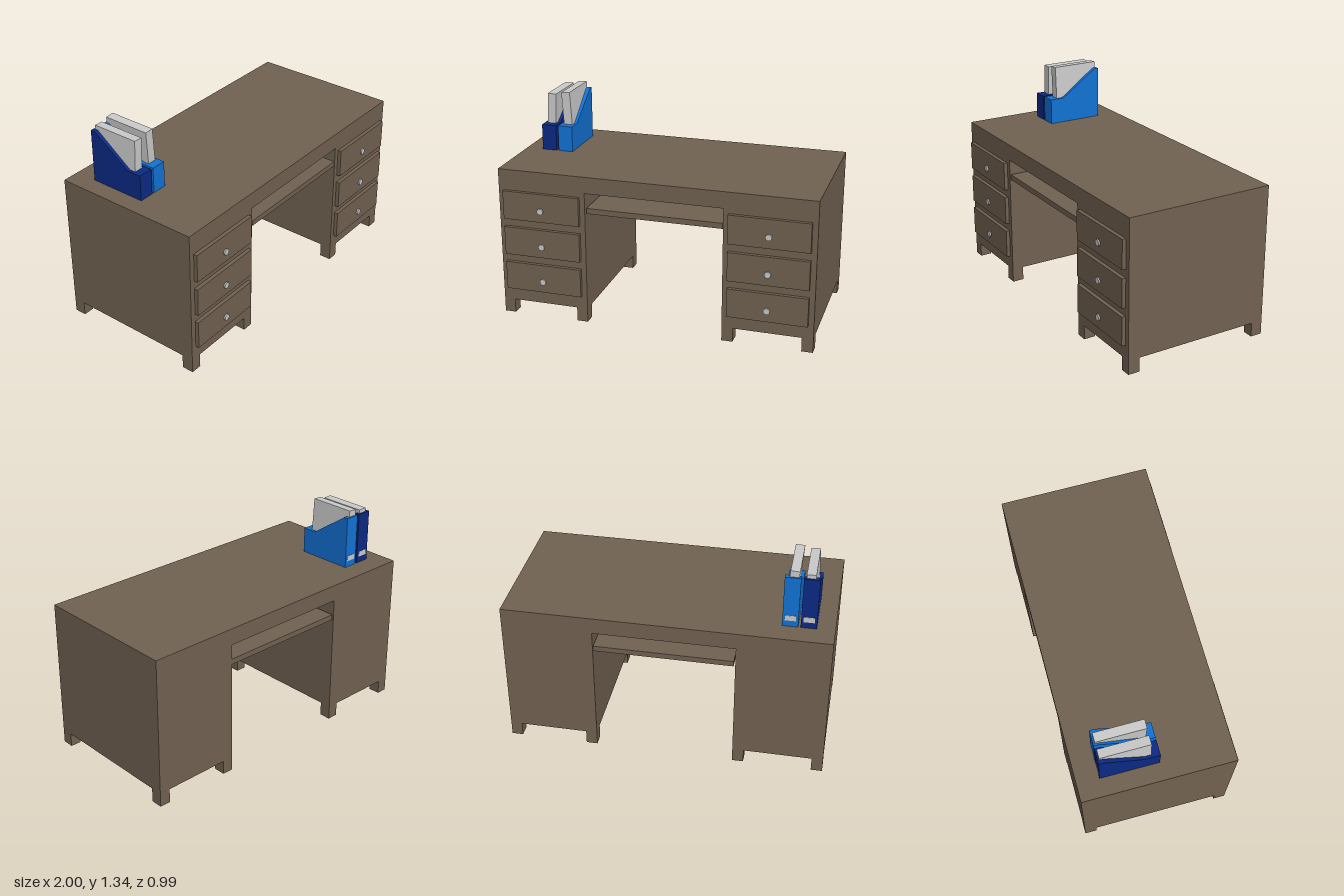
import * as THREE from 'three';

const mat = (color) => new THREE.MeshStandardMaterial({ color });
const wood = mat(0x726251), grey = mat(0xcccccc), navy = mat(0x0b2a85), blue = mat(0x1273d6);

const BACK = -0.495, FRONT = 0.46, TOP = 0.965;

function add(parent, name, geometry, material) {
  const mesh = new THREE.Mesh(geometry, material);
  mesh.name = name;
  parent.add(mesh);
  return mesh;
}

// Box given by its limits on each axis
function box(parent, name, [x0, x1], [y0, y1], [z0, z1], material) {
  const mesh = add(parent, name, new THREE.BoxGeometry(x1 - x0, y1 - y0, z1 - z0), material);
  mesh.position.set((x0 + x1) / 2, (y0 + y1) / 2, (z0 + z1) / 2);
  return mesh;
}

function extrude(points, depth) {
  const shape = new THREE.Shape(points.map(([x, y]) => new THREE.Vector2(x, y)));
  return new THREE.ExtrudeGeometry(shape, { depth, bevelEnabled: false });
}

// Magazine file with a sloped top, a leaning stack of paper and a label on the back
function createFile(name, x, material, lean, paperTop) {
  const file = new THREE.Group();
  file.name = name;
  file.position.set(x, TOP, 0);

  const profile = [[-0.012, 0], [0.355, 0], [0.355, 0.335], [0.325, 0.335], [0.08, 0.165], [-0.012, 0.165]];
  const holder = add(file, 'fileHolder', extrude(profile, 0.095), material);
  holder.rotation.y = Math.PI / 2; // profile x runs towards the back
  holder.position.x = -0.0475;

  const paper = box(file, 'paperStack', [-0.028, 0.028], [0.03, paperTop - TOP], [-0.345, -0.04], grey);
  paper.rotation.z = lean;
  box(file, 'fileLabel', [-0.033, 0.033], [0.04, 0.075], [-0.357, -0.354], grey);
  return file;
}

export function createModel() {
  const desk = new THREE.Group();
  desk.name = 'desk';

  // Desktop and both pedestals as one body with an open knee space
  const outline = [[-1, 0.09], [-0.435, 0.09], [-0.435, 0.86], [0.435, 0.86],
    [0.435, 0.09], [1, 0.09], [1, TOP], [-1, TOP]];
  add(desk, 'deskBody', extrude(outline, FRONT - BACK), wood).position.z = BACK;

  // Sliding tray across the knee space
  box(desk, 'tray', [-0.425, 0.432], [0.73, 0.765], [BACK + 0.003, FRONT - 0.003], wood);

  for (const side of [-1, 1]) {
    const pedestal = new THREE.Group();
    pedestal.name = side > 0 ? 'leftPedestal' : 'rightPedestal';
    desk.add(pedestal);

    // Four short legs
    for (const x of [0.47, 0.965]) {
      for (const z of [BACK + 0.0375, FRONT - 0.0375]) {
        box(pedestal, 'leg', [side * x - 0.035, side * x + 0.035], [0, 0.09], [z - 0.0375, z + 0.0375], wood);
      }
    }

    // Three drawers with round knobs
    for (const y of [0.267, 0.503, 0.74]) {
      const cx = side * 0.717;
      box(pedestal, 'drawerFront', [cx - 0.249, cx + 0.249], [y - 0.092, y + 0.092], [FRONT, 0.484], wood);
      const stem = add(pedestal, 'knobStem', new THREE.CylinderGeometry(0.012, 0.012, 0.01, 16), grey);
      const knob = add(pedestal, 'knob', new THREE.CylinderGeometry(0.02, 0.02, 0.009, 20), grey);
      for (const part of [stem, knob]) part.rotation.x = Math.PI / 2;
      stem.position.set(cx, y - 0.018, 0.486);
      knob.position.set(cx, y - 0.018, 0.4925);
    }
  }

  // Files standing on the desktop
  desk.add(createFile('navyFile', -0.8425, navy, -0.04, 1.325));
  desk.add(createFile('blueFile', -0.7325, blue, 0.06, 1.34));
  return desk;
}
